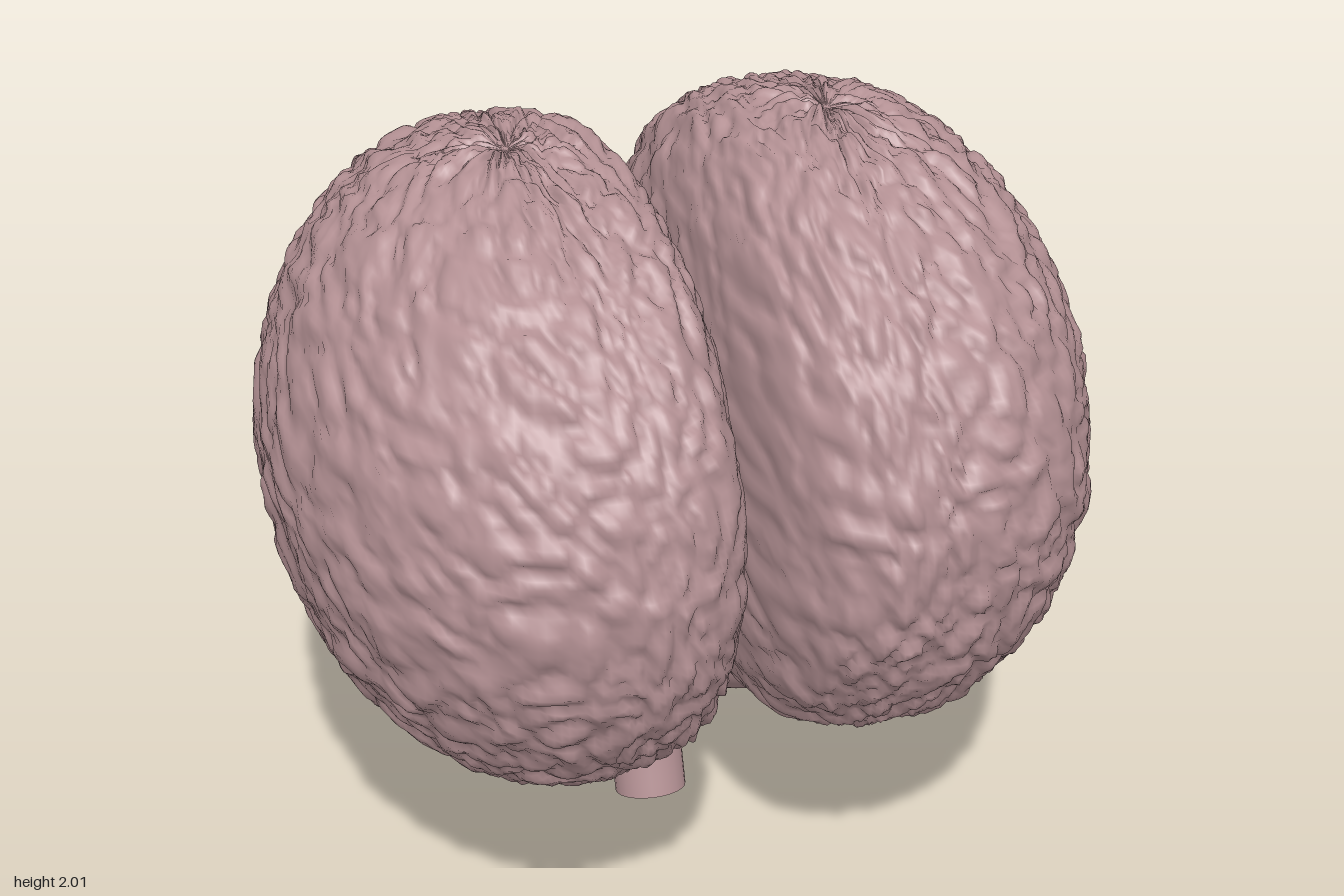
import * as THREE from 'three';
import { mergeVertices } from 'three/addons/utils/BufferGeometryUtils.js';

// Seeded gradient noise, roughly -1..1
function grad(ix, iy, iz, x, y, z) {
  let h = Math.imul(ix, 374761393) ^ Math.imul(iy, 668265263) ^ Math.imul(iz, 1274126177);
  h = Math.imul(h ^ (h >>> 13), 1103515245);
  h ^= h >>> 16;
  const u = (h & 8) ? y : x;
  const v = (h & 4) ? z : ((h & 8) ? x : y);
  return ((h & 1) ? u : -u) + ((h & 2) ? v : -v);
}
const fade = (t) => t * t * t * (t * (t * 6 - 15) + 10);
function noise(x, y, z) {
  const X = Math.floor(x), Y = Math.floor(y), Z = Math.floor(z);
  const a = x - X, b = y - Y, c = z - Z;
  const u = fade(a), v = fade(b), w = fade(c);
  let sum = 0;
  for (let i = 0; i < 2; i++) for (let j = 0; j < 2; j++) for (let k = 0; k < 2; k++) {
    const weight = (i ? u : 1 - u) * (j ? v : 1 - v) * (k ? w : 1 - w);
    sum += weight * grad(X + i, Y + j, Z + k, a - i, b - j, c - k);
  }
  return sum;
}

// Rounded puffs separated by sharp creases
const puff = (x, y, z) => Math.pow(Math.min(1, Math.abs(noise(x, y, z)) * 2.2), 0.7);

// Fold height for a direction; folds stretch into rays near the poles
function folds(d, seed) {
  const ring = Math.hypot(d.x, d.z);
  const s = Math.max(ring, 0.5) / Math.max(ring, 1e-4);
  let x = d.x * s, z = d.z * s, y = Math.asin(THREE.MathUtils.clamp(d.y, -1, 1)) * 0.95;
  const wx = noise(x * 4 + seed, y * 4, z * 4) * 0.09;
  const wy = noise(x * 4, y * 4 + 31, z * 4 + seed) * 0.09;
  x += wx; y += wy; z += wx - wy;
  const big = puff(x * 6.5 + seed, y * 7.5, z * 6.5);
  const small = puff(x * 13, y * 14 + seed, z * 13);
  return (big * 0.72 + small * 0.28) * THREE.MathUtils.smoothstep(ring, 0, 0.12);
}

// Unit sphere with shared vertices, each vertex moved by a rule
function shapedSphere(w, h, rule) {
  let geo = new THREE.SphereGeometry(1, w, h);
  geo.deleteAttribute('uv');
  geo.deleteAttribute('normal');
  geo = mergeVertices(geo, 1e-5);
  const pos = geo.attributes.position, d = new THREE.Vector3();
  for (let i = 0; i < pos.count; i++) {
    d.fromBufferAttribute(pos, i).normalize();
    rule(d);
    pos.setXYZ(i, d.x, d.y, d.z);
  }
  geo.computeVertexNormals();
  return geo;
}

// Half of the cerebrum: round outside, flattened towards the midline
function hemisphere(side) {
  return shapedSphere(220, 138, (d) => {
    const bump = 0.972 + 0.042 * folds(d, side > 0 ? 11.3 : 47.7);
    const inner = d.x * side < 0;
    const p = 3.5;
    const t = inner
      ? Math.pow(Math.pow(Math.abs(d.x), p) + Math.pow(Math.hypot(d.y, d.z), p), -1 / p)
      : 1;
    d.multiplyScalar(t * bump);
    d.set(d.x * (inner ? 0.378 : 0.6), d.y * 0.778, d.z * 0.885);
  });
}

// Smooth lobe with shallow grooves underneath
function cerebellumLobe() {
  return shapedSphere(64, 48, (d) => {
    const under = THREE.MathUtils.smoothstep(-d.y, 0.35, 0.6);
    const k = 1 + 0.012 * under * Math.sin(d.y * 38);
    d.set(d.x * 0.28 * k, d.y * 0.275, d.z * 0.43 * k);
  });
}

export function createModel() {
  const group = new THREE.Group();
  const tissue = new THREE.MeshStandardMaterial({ color: 0xb49194 });
  tissue.name = 'dusty pink tissue';

  const add = (geo, name, x, y, z) => {
    const mesh = new THREE.Mesh(geo, tissue);
    mesh.name = name;
    mesh.position.set(x, y, z);
    group.add(mesh);
    return mesh;
  };

  for (const side of [1, -1]) {
    const label = side > 0 ? 'left' : 'right';
    add(hemisphere(side), label + 'Hemisphere', side * 0.39, 1.225, 0);
    add(cerebellumLobe(), label + 'Cerebellum', side * 0.272, 0.515, -0.405);
  }

  // Brain stem, bending forward at its lower end
  const path = new THREE.CatmullRomCurve3([
    new THREE.Vector3(0, 0.03, -0.15),
    new THREE.Vector3(0, 0.15, -0.185),
    new THREE.Vector3(0, 0.27, -0.21),
    new THREE.Vector3(0, 0.52, -0.22),
  ]);
  add(new THREE.TubeGeometry(path, 16, 0.095, 24), 'brainStem', 0, 0, 0);

  // Flat caps on both ends of the stem
  for (const [t, dir, name] of [[0, -1, 'stemLowerEnd'], [1, 1, 'stemUpperEnd']]) {
    const p = path.getPointAt(t);
    const cap = add(new THREE.CircleGeometry(0.095, 24), name, p.x, p.y, p.z);
    cap.quaternion.setFromUnitVectors(
      new THREE.Vector3(0, 0, 1), path.getTangentAt(t).multiplyScalar(dir));
  }
  return group;
}
